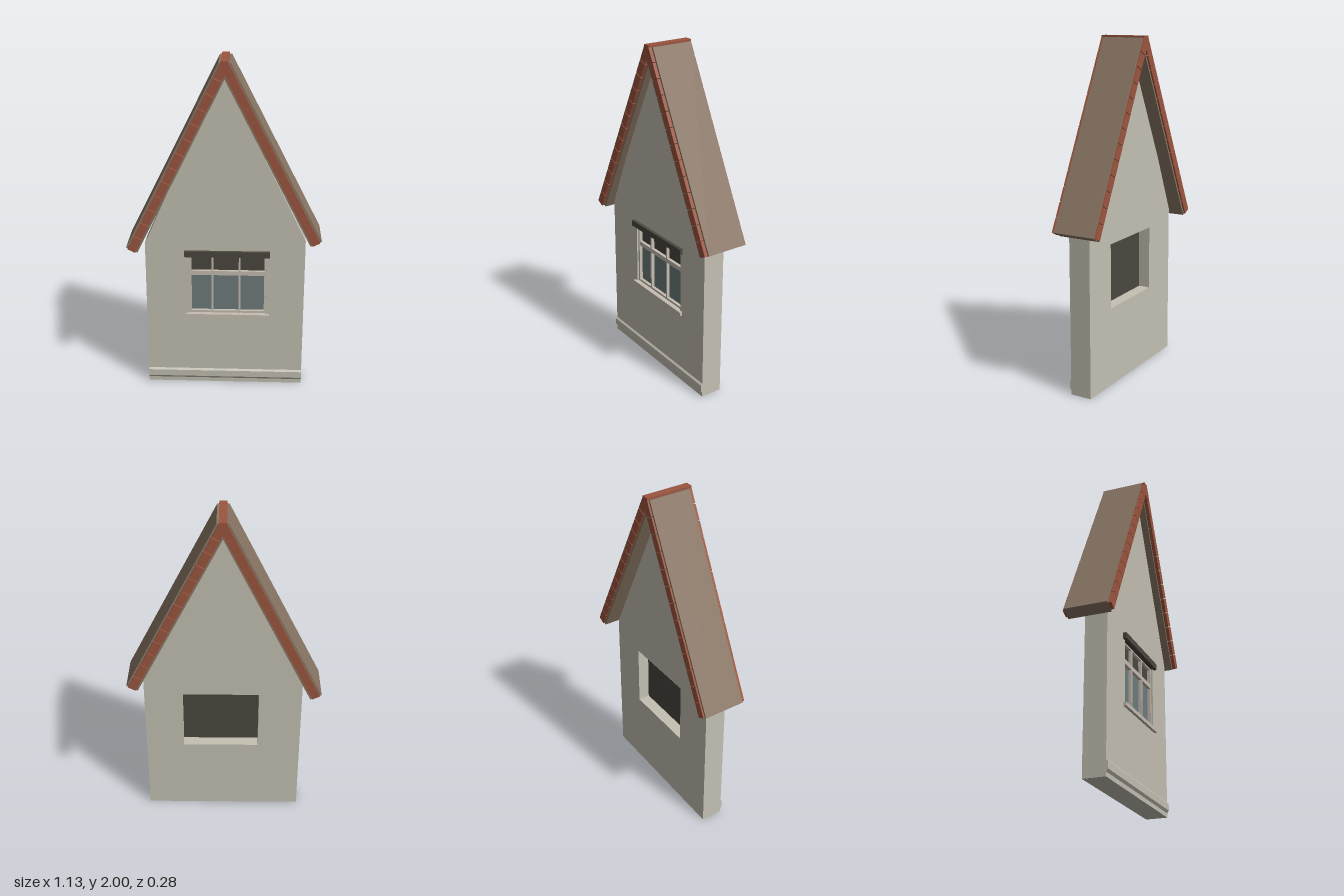
import * as THREE from 'three';

const mat = (name, color, extra = {}) => {
  const m = new THREE.MeshStandardMaterial({ color, ...extra });
  m.name = name;
  return m;
};

export function createModel() {
  const root = new THREE.Group();
  root.name = 'gableFacade';
  const plaster = mat('plaster', 0xc4c0b3);
  const roofBrown = mat('roofBrown', 0x8a7765);
  const brick = mat('brickRed', 0x9c563f);
  const darkWood = mat('darkWood', 0x4b473f);
  const glass = mat('glass', 0x6f7c7d);
  const frameMat = mat('framePaint', 0xc6beb2);

  const add = (name, geo, material, parent = root) => {
    const m = new THREE.Mesh(geo, material);
    m.name = name;
    parent.add(m);
    return m;
  };
  // box given by its min and max corners
  const box = (name, material, x0, x1, y0, y1, z0, z1, parent = root) => {
    const m = add(name, new THREE.BoxGeometry(x1 - x0, y1 - y0, z1 - z0), material, parent);
    m.position.set((x0 + x1) / 2, (y0 + y1) / 2, (z0 + z1) / 2);
    return m;
  };
  const shapeOf = (pts) => new THREE.Shape(pts.map(([x, y]) => new THREE.Vector2(x, y)));
  const extrude = (shape, z0, z1) =>
    new THREE.ExtrudeGeometry(shape, { depth: z1 - z0, bevelEnabled: false }).translate(0, 0, z0);

  // Gable wall with window opening
  const wall = shapeOf([[-0.46, 0], [0.475, 0], [0.475, 0.95], [0.007, 1.9], [-0.31, 1.26], [-0.46, 0.92]]);
  wall.holes.push(new THREE.Path(
    [[-0.205, 0.47], [-0.205, 0.85], [0.25, 0.85], [0.25, 0.47]].map(([x, y]) => new THREE.Vector2(x, y))));
  add('wall', extrude(wall, -0.05, 0.08), plaster);

  // Chamfered plinth: profile in z and y, swept along x
  const plinth = shapeOf([[-0.07, 0.025], [-0.07, 0.09], [-0.08, 0.09], [-0.09, 0.08], [-0.09, 0.04], [-0.08, 0.025]]);
  add('plinth', extrude(plinth, -0.46, 0.475).rotateY(Math.PI / 2), plaster);

  // Window
  const win = new THREE.Group();
  win.name = 'window';
  root.add(win);
  box('lintel', darkWood, -0.23, 0.27, 0.845, 0.88, 0.04, 0.1, win);
  box('sill', frameMat, -0.225, 0.27, 0.45, 0.472, 0.03, 0.097, win);
  box('backPanel', darkWood, -0.205, 0.25, 0.47, 0.85, 0.02, 0.03, win);
  box('blindBox', darkWood, -0.205, 0.25, 0.825, 0.85, 0.0, 0.02, win);
  box('lowerGlass', glass, -0.2, 0.245, 0.475, 0.735, 0.031, 0.05, win);
  box('upperPanel', darkWood, -0.2, 0.245, 0.735, 0.848, 0.031, 0.05, win);
  for (const [x0, x1] of [[-0.205, -0.192], [-0.073, -0.062], [0.088, 0.099], [0.239, 0.25]]) {
    box('mullion', frameMat, x0, x1, 0.472, 0.848, 0.031, 0.07, win);
  }
  for (const [y0, y1] of [[0.472, 0.485], [0.718, 0.745], [0.836, 0.848]]) {
    box('rail', frameMat, -0.2, 0.245, y0, y1, 0.032, 0.069, win);
  }

  // Roof slopes: slab plus a row of verge tiles on front and back
  const roof = new THREE.Group();
  roof.name = 'roof';
  root.add(roof);
  const slopes = [
    { name: 'right', side: -1, bottom: [-0.565, 0.91], top: [-0.027, 1.99] },
    { name: 'left', side: 1, bottom: [0.565, 0.965], top: [0.04, 1.99] },
  ];
  for (const { name, side, bottom, top } of slopes) {
    const b = new THREE.Vector2(...bottom);
    const t = new THREE.Vector2(...top);
    const len = t.distanceTo(b);
    const dir = t.clone().sub(b).normalize();
    const inward = new THREE.Vector2(-side * dir.y, side * dir.x);
    if (inward.y > 0) inward.negate();
    const inner = b.clone().addScaledVector(inward, 0.072);
    const slab = shapeOf([[b.x, b.y], [t.x, t.y], [0.006, 1.985], [0.006, 1.9], [inner.x, inner.y]]);
    add(name + 'RoofSlab', extrude(slab, -0.13, 0.12), roofBrown, roof);

    const count = 13;
    const step = (len + 0.012) / count;
    for (let i = 0; i < count; i++) {
      const p = b.clone().addScaledVector(dir, (i + 0.5) * step).addScaledVector(inward, 0.035);
      for (const [z0, z1] of [[0.115, 0.14], [-0.14, -0.125]]) {
        const tile = box('vergeTile', brick, -0.024, 0.024, -step / 2 + 0.002, step / 2 - 0.002, z0, z1, roof);
        tile.position.set(p.x, p.y, (z0 + z1) / 2);
        tile.rotation.z = Math.atan2(dir.y, dir.x) - Math.PI / 2;
      }
    }
  }

  // Ridge cap
  box('ridgeCap', brick, -0.016, 0.028, 1.95, 2.0, -0.14, 0.14, roof);

  return root;
}
